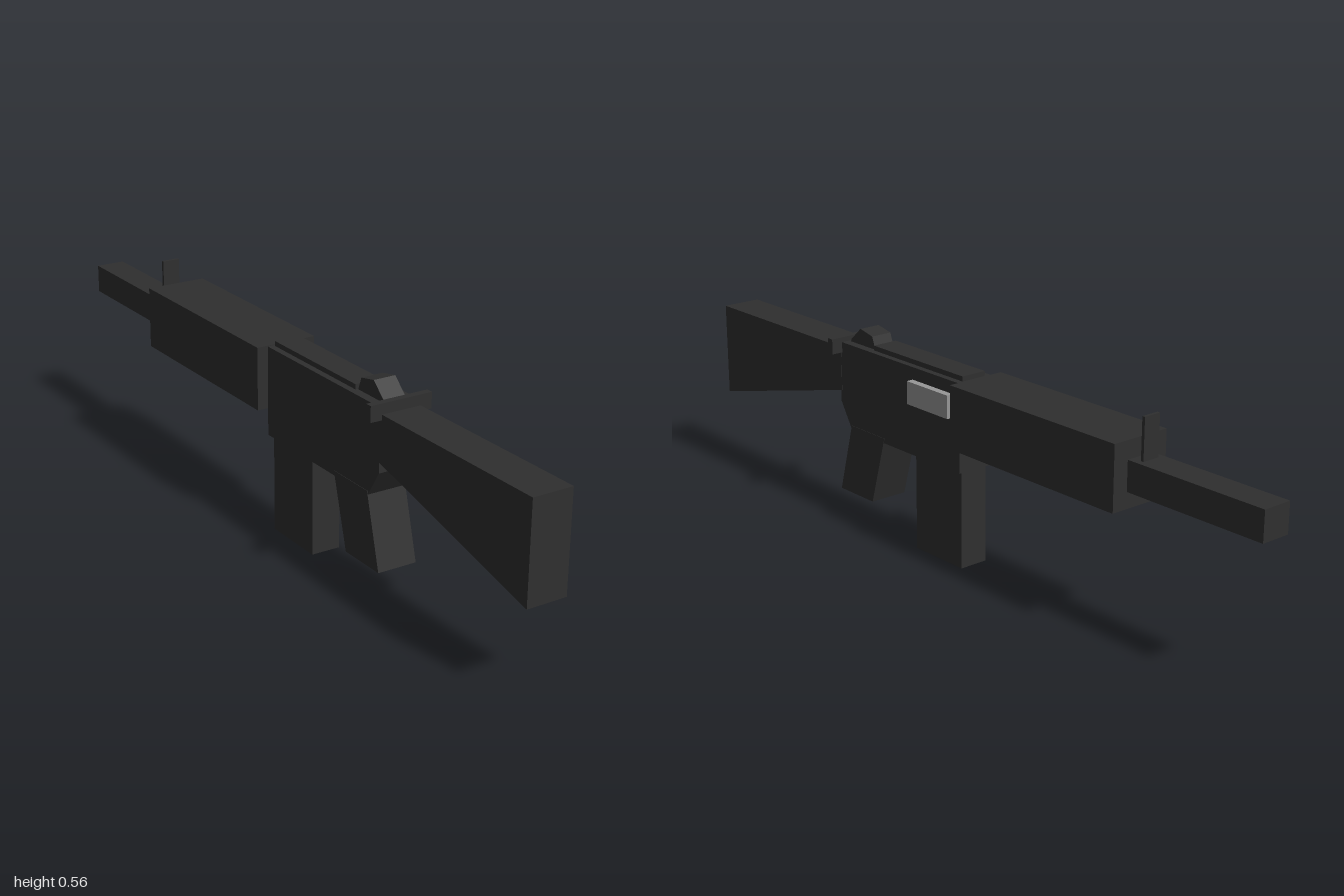
import * as THREE from 'three';

export function createModel() {
  const model = new THREE.Group();
  const dark = new THREE.MeshStandardMaterial({ color: 0x2f2f2f });
  dark.name = 'charcoal';
  const grey = new THREE.MeshStandardMaterial({ color: 0x979797 });
  grey.name = 'steelGrey';

  function add(name, geometry, material) {
    const mesh = new THREE.Mesh(geometry, material);
    mesh.name = name;
    model.add(mesh);
    return mesh;
  }

  // Box given by its limits on each axis
  function box(name, [x0, x1], [y0, y1], [z0, z1], material = dark) {
    const mesh = add(name, new THREE.BoxGeometry(x1 - x0, y1 - y0, z1 - z0), material);
    mesh.position.set((x0 + x1) / 2, (y0 + y1) / 2, (z0 + z1) / 2);
  }

  // Side outline of [z, y] points, extruded evenly across x
  function profile(name, points, halfWidth) {
    const shape = new THREE.Shape(points.map(([z, y]) => new THREE.Vector2(-z, y)));
    const geometry = new THREE.ExtrudeGeometry(shape, { depth: halfWidth * 2, bevelEnabled: false });
    geometry.translate(0, 0, -halfWidth).rotateY(Math.PI / 2);
    add(name, geometry, dark);
  }

  // Body
  profile('stock', [[1, 0.484], [1, 0.228], [0.45, 0.365], [0.45, 0.484]], 0.054);
  profile('receiver', [[0.455, 0.498], [0.455, 0.335], [0.41, 0.262], [-0.032, 0.262], [-0.032, 0.498]], 0.053);
  profile('grip', [[0.41, 0.275], [0.462, 0.083], [0.325, 0.083], [0.27, 0.275]], 0.054);
  box('magazine', [-0.04, 0.04], [0, 0.27], [-0.025, 0.155]);

  // Front end
  box('handguard', [-0.083, 0.083], [0.334, 0.5], [-0.6, -0.032]);
  box('barrel', [-0.04, 0.04], [0.376, 0.453], [-1, -0.59]);
  box('frontSight', [-0.024, 0.024], [0.45, 0.559], [-0.633, -0.625]);

  // Top and side fittings
  box('topRail', [-0.036, 0.036], [0.49, 0.511], [-0.025, 0.33]);
  profile('rearSight', [[0.44, 0.49], [0.435, 0.505], [0.395, 0.541], [0.345, 0.531], [0.33, 0.49]], 0.03);
  box('chargingHandle', [-0.085, 0.085], [0.47, 0.511], [0.446, 0.464]);
  box('ejectionCover', [0.05, 0.072], [0.404, 0.465], [-0.008, 0.15], grey);

  return model;
}
